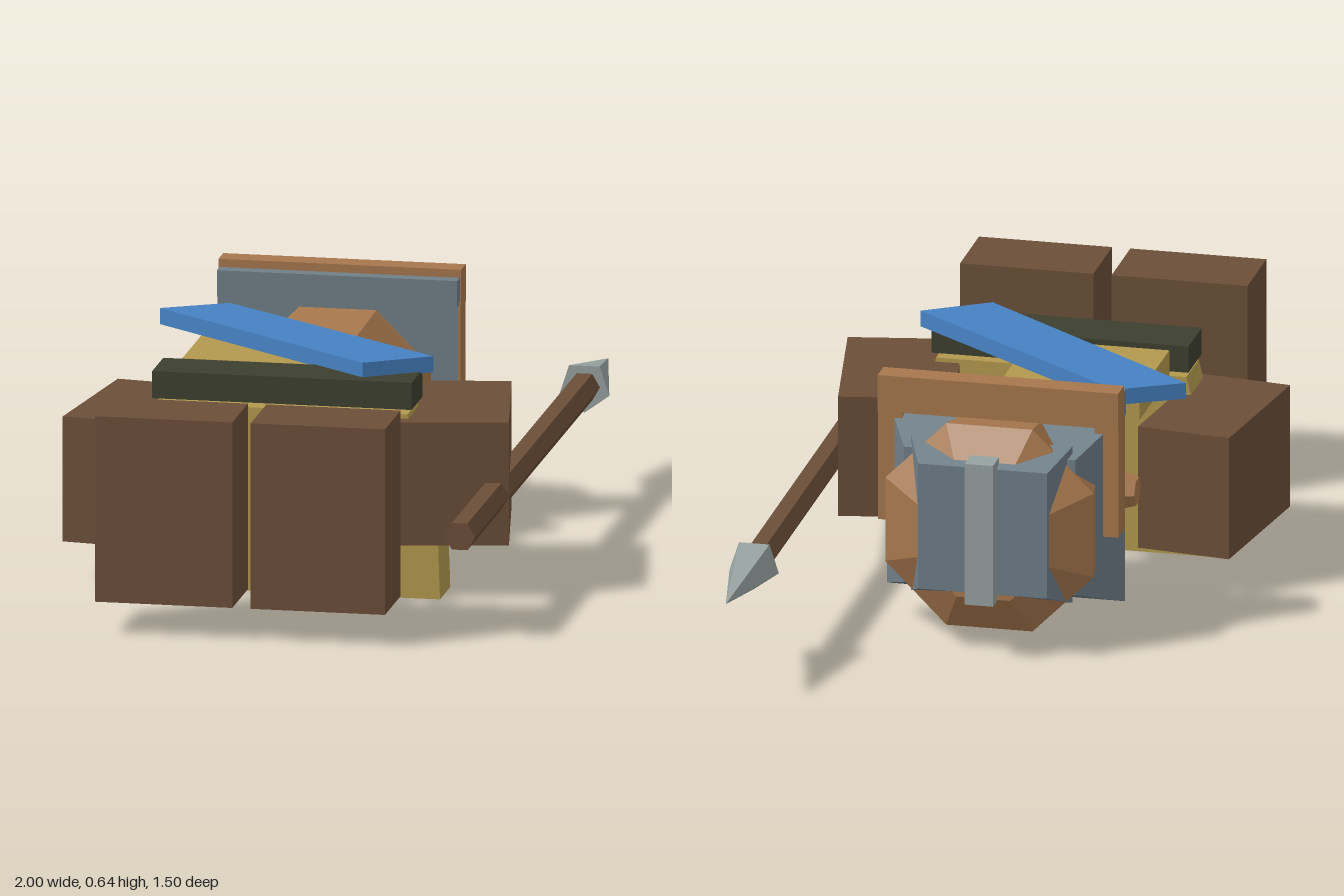
import * as THREE from 'three';

const mat = (name, color) => {
  const m = new THREE.MeshStandardMaterial({ color });
  m.name = name;
  return m;
};

export function createModel() {
  const leather = mat('dark brown', 0x6b4e38);
  const skin = mat('tan brown', 0xa7774d);
  const cloth = mat('ochre', 0xb3984e);
  const blue = mat('blue', 0x4682c4);
  const green = mat('dark green', 0x3c3f2e);
  const steel = mat('steel grey', 0x6f7e87);
  const pale = mat('pale grey', 0x96a2a0);

  const root = new THREE.Group();
  root.name = 'warrior';
  // The figure lies diagonally: local x runs across it, local -z runs from feet to head.
  const figure = new THREE.Group();
  figure.name = 'figure';
  figure.rotation.y = -Math.PI / 4;
  root.add(figure);

  const add = (parent, name, geo, material) => {
    const g = geo.index ? geo.toNonIndexed() : geo;
    g.computeVertexNormals();
    const m = new THREE.Mesh(g, material);
    m.name = name;
    parent.add(m);
    return m;
  };
  // Box from ranges across (s), in height (y) and along the body (u).
  const box = (name, material, s0, s1, y0, y1, u0, u1) => {
    const m = add(figure, name, new THREE.BoxGeometry(s1 - s0, y1 - y0, u1 - u0), material);
    m.position.set((s0 + s1) / 2, (y0 + y1) / 2, -(u0 + u1) / 2);
    return m;
  };
  // Tapered prism along the body; n = 4 gives a rectangle with half sizes r * sx, r * sy.
  const prism = (name, material, n, r0, r1, u0, u1, s, y, sx = 1, sy = 1) => {
    const k = 1 / Math.cos(Math.PI / n);
    const g = new THREE.CylinderGeometry(r1 * k, r0 * k, u1 - u0, n);
    g.rotateY(Math.PI / n).rotateX(-Math.PI / 2).scale(sx, sy, 1);
    const m = add(figure, name, g, material);
    m.position.set(s, y, -(u0 + u1) / 2);
    return m;
  };
  const mid = -0.236; // centre line of the figure
  const headY = 0.307;

  // Boots
  box('rightBoot', leather, -0.594, -0.257, 0.08, 0.54, -0.82, -0.622);
  box('leftBoot', leather, -0.212, 0.118, 0.08, 0.54, -0.82, -0.622);

  // Tunic skirt, narrowing under the belt
  const skirt = new THREE.Shape([[-0.39, 0], [0.39, 0], [0.385, 0.15], [0.31, 0.455], [-0.31, 0.455], [-0.385, 0.15]]
    .map(([x, y]) => new THREE.Vector2(x, y)));
  add(figure, 'tunic', new THREE.ExtrudeGeometry(skirt, { depth: 0.13, bevelEnabled: false }), cloth)
    .position.set(mid, 0, 0.182);
  box('belt', green, -0.552, 0.085, 0.468, 0.535, -0.318, -0.178);
  box('chestPlate', cloth, -0.51, -0.165, 0.46, 0.53, -0.155, 0.16);

  // Diagonal sash
  const sash = new THREE.Shape([[-0.32, 0.57], [-0.23, -0.17], [-0.05, -0.21], [-0.15, 0.52]]
    .map(([x, y]) => new THREE.Vector2(x, y)));
  const sashGeo = new THREE.ExtrudeGeometry(sash, { depth: 0.04, bevelEnabled: false }).rotateX(-Math.PI / 2);
  add(root, 'sash', sashGeo, blue).position.y = 0.531;

  // Hands
  const hand = (name, w, h, d, x, y, z, turn) => {
    const m = add(root, name, new THREE.BoxGeometry(w, h, d), leather);
    m.position.set(x, y, z);
    m.rotation.y = turn;
  };
  hand('leftHand', 0.28, 0.305, 0.43, 0.02, 0.292, 0.187, -0.608);
  hand('rightHand', 0.41, 0.31, 0.235, -0.53, 0.255, -0.36, 0.648);

  // Head, faceted, widening again where it bulges through the helmet
  const profile = [[0, 0.09], [0.13, 0.09], [0.215, 0.18], [0.225, 0.38], [0.258, 0.573], [0.16, 0.64], [0, 0.64]]
    .map(([r, u]) => new THREE.Vector2(r / Math.cos(Math.PI / 8), u));
  const headGeo = new THREE.LatheGeometry(profile, 8).rotateY(Math.PI / 8).rotateX(-Math.PI / 2);
  add(figure, 'head', headGeo, skin).position.set(mid, headY, 0);

  // Ears
  for (const side of [-1, 1]) {
    const g = new THREE.CylinderGeometry(0.035, 0.07, 0.11, 6).rotateZ(-side * Math.PI / 2);
    add(figure, side > 0 ? 'leftEar' : 'rightEar', g, skin).position.set(mid + side * 0.245, 0.325, -0.29);
  }

  // Helmet shell, crown and crest
  prism('helmetShell', steel, 4, 1, 0.72, 0.4, 0.57, mid, 0.322, 0.295, 0.24);
  prism('helmetCrown', steel, 4, 0.2, 0.16, 0.55, 0.645, mid, 0.322);
  box('helmetCrest', pale, mid - 0.035, mid + 0.035, 0.145, 0.505, 0.62, 0.685);

  // Helmet brim with cheek bars
  box('brimLining', steel, -0.53, 0.06, 0.555, 0.62, 0.385, 0.425);
  box('brim', skin, -0.533, 0.063, 0.548, 0.64, 0.42, 0.48);
  for (const s of [-0.533, 0.003]) box('cheekBar', skin, s, s + 0.06, 0.27, 0.56, 0.41, 0.475);

  // Spear
  prism('spearShaft', leather, 6, 0.033, 0.033, -0.735, 0.87, 0.285, 0.262);
  prism('spearHead', pale, 5, 0.052, 0.0005, 0.835, 1.132, 0.285, 0.262);

  return root;
}
